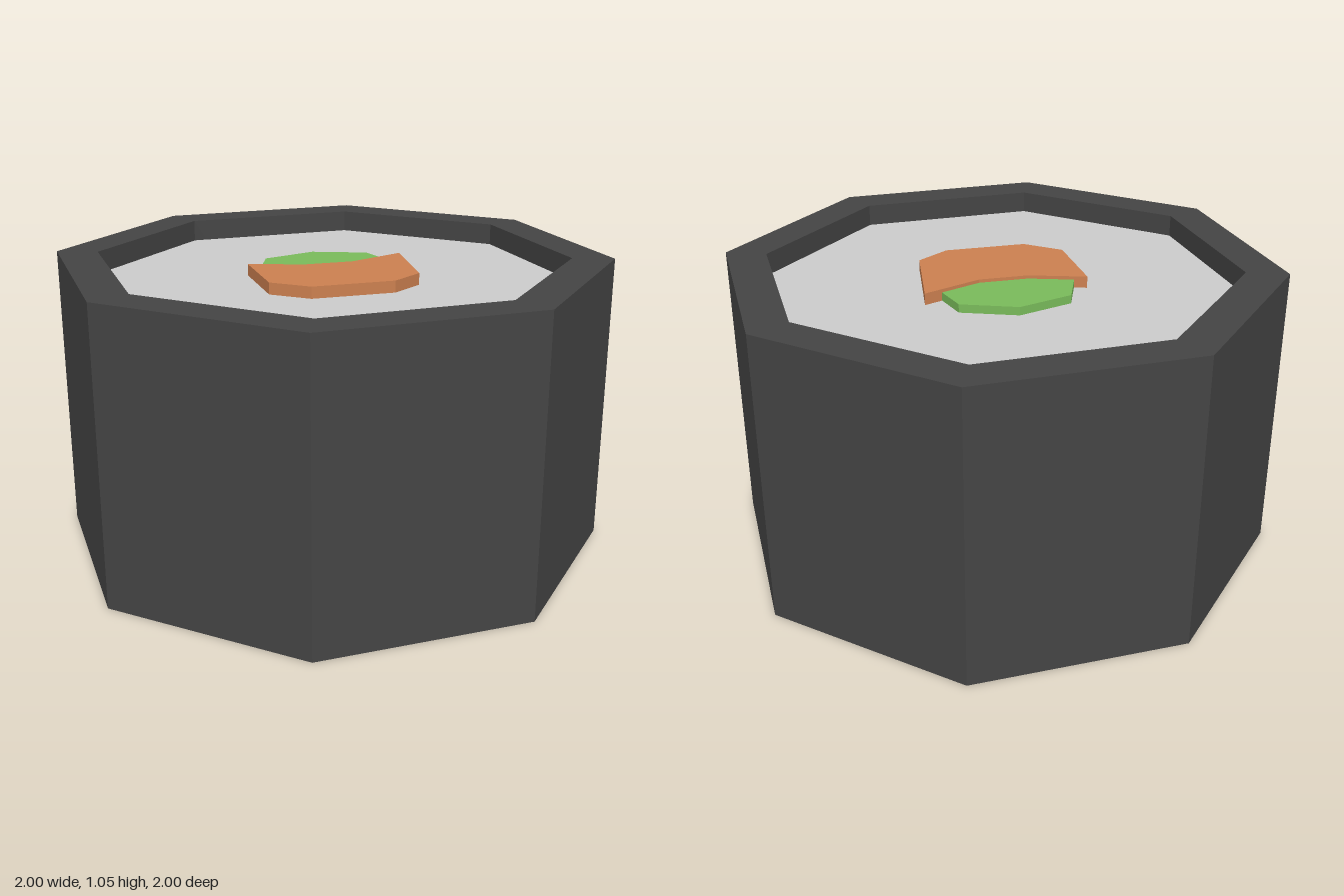
import * as THREE from 'three';

const HEIGHT = 1.055;

// Eight corners with one on each axis
const octagon = (r) => Array.from({ length: 8 }, (_, i) =>
  new THREE.Vector2(r * Math.cos(i * Math.PI / 4), r * Math.sin(i * Math.PI / 4)));

// Upright prism from an outline of (x, -z) points, inset equally at both ends
function prism(name, shape, inset, color) {
  const geometry = new THREE.ExtrudeGeometry(shape, { depth: HEIGHT - 2 * inset, bevelEnabled: false });
  geometry.rotateX(-Math.PI / 2).translate(0, inset, 0);
  const mesh = new THREE.Mesh(geometry, new THREE.MeshStandardMaterial({ color, flatShading: true }));
  mesh.name = name;
  return mesh;
}

const outline = (points) => new THREE.Shape(points.map(([x, y]) => new THREE.Vector2(x, y)));

export function createModel() {
  const group = new THREE.Group();
  group.name = 'sushiRoll';

  // Seaweed ring standing proud of the rice at both ends
  const ring = new THREE.Shape(octagon(1));
  ring.holes.push(new THREE.Path(octagon(0.85)));
  group.add(prism('seaweedWrap', ring, 0, 0x444444));

  // Rice core
  group.add(prism('rice', new THREE.Shape(octagon(0.85)), 0.08, 0xcccccc));

  // Fish filling: crescent with a concave back edge
  group.add(prism('fishFilling', outline([
    [-0.33, -0.05], [-0.26, -0.19], [0.01, -0.315], [0.15, -0.29], [0.325, -0.01],
    [0.1, 0], [-0.06, 0.075], [-0.17, 0.175], [-0.215, 0.215],
  ]), 0.038, 0xcc8050));

  // Green filling nestled in the crescent
  group.add(prism('greenFilling', outline([
    [-0.18, 0.185], [-0.06, 0.075], [0.1, 0], [0.255, -0.007],
    [0.275, 0.115], [0.13, 0.262], [-0.075, 0.288],
  ]), 0.05, 0x79ba5a));

  return group;
}
